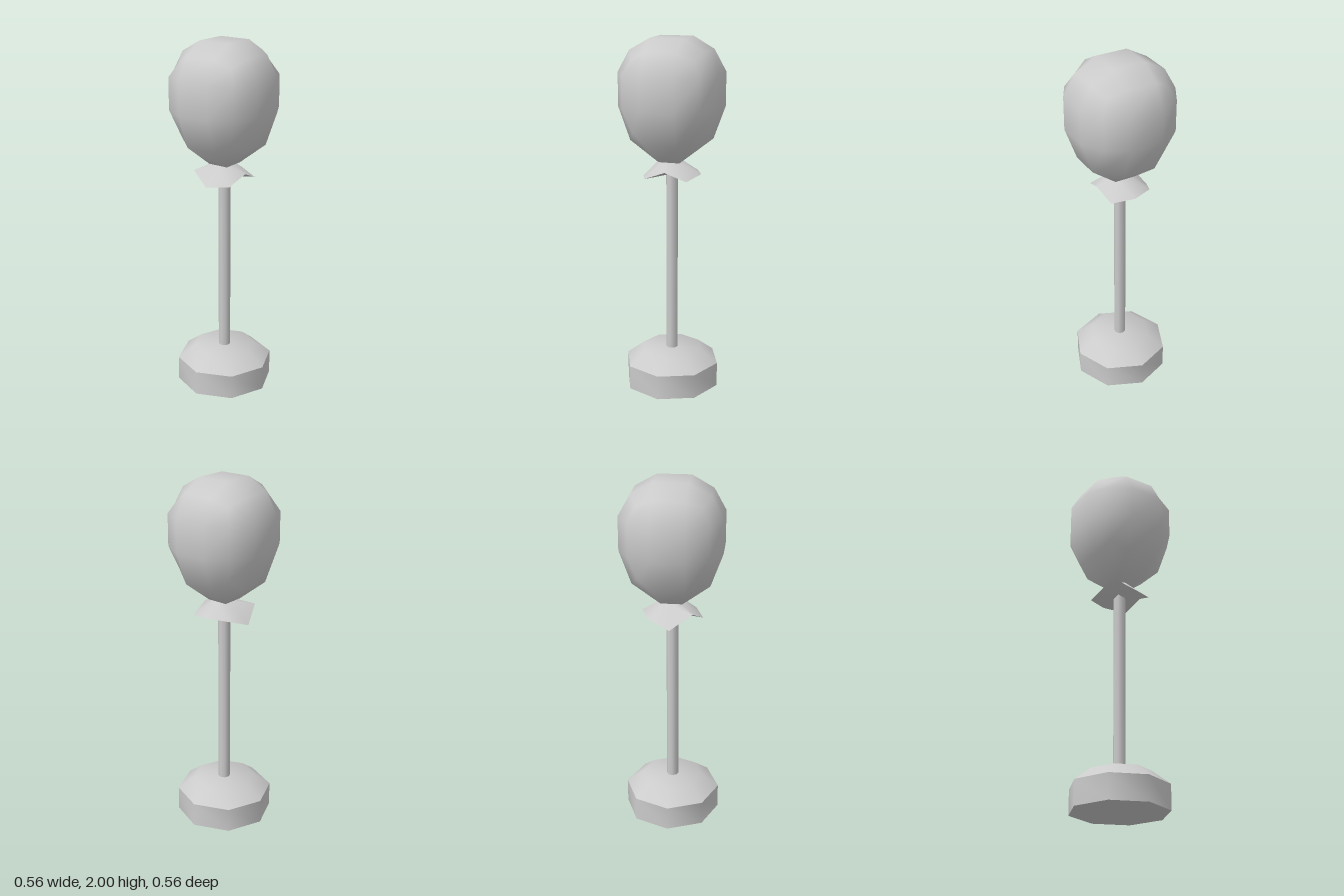
import * as THREE from 'three';
import { mergeVertices, toCreasedNormals } from 'three/addons/utils/BufferGeometryUtils.js';

const CREASE = THREE.MathUtils.degToRad(50);
const grey = new THREE.MeshStandardMaterial({ color: 0xcccccc });

function part(name, geometry, material = grey) {
  const mesh = new THREE.Mesh(geometry, material);
  mesh.name = name;
  return mesh;
}

// Eight-sided turned shape from a radius/height profile
function turned(profile) {
  const points = profile.map(([r, y]) => new THREE.Vector2(r, y));
  return toCreasedNormals(new THREE.LatheGeometry(points, 8), CREASE);
}

// Balloon: a 3x3x3 box rounded off, its lower half drawn down to a narrow neck
function balloonGeometry() {
  let geo = new THREE.BoxGeometry(2, 2, 2, 3, 3, 3);
  geo.deleteAttribute('normal');
  geo.deleteAttribute('uv');
  geo = mergeVertices(geo);
  const pos = geo.attributes.position;
  const outer = [0, 0.278, 0.212, 0.17]; // face, edge and corner points
  const inner = [0, 0.093, 0.088, 0];
  const lower = [0, 1.325, 1.445, 1.5];
  for (let i = 0; i < pos.count; i++) {
    const p = [pos.getX(i), pos.getY(i), pos.getZ(i)];
    const isOuter = p.map((c) => Math.abs(c) > 0.9);
    const n = isOuter.filter(Boolean).length;
    let [x, y, z] = p.map((c, k) => Math.sign(c) * (isOuter[k] ? outer : inner)[n]);
    y += 1.722;
    if (isOuter[1] && p[1] < 0) {
      y = lower[n];
      if (n === 1) {
        x = Math.sign(x) * 0.06;
        z = Math.sign(z) * 0.06;
      }
    }
    pos.setXYZ(i, x, y, z);
  }
  geo.computeVertexNormals();
  return geo;
}

// Knot: a flared collar with an uneven rim, closed underneath around the pole
function knotGeometry() {
  const rim = [
    [0, 1.286, 0.14], [0.118, 1.238, 0.12], [0.169, 1.26, 0], [0.116, 1.253, -0.12],
    [0, 1.212, -0.17], [-0.12, 1.292, -0.12], [-0.169, 1.228, 0], [-0.12, 1.239, 0.12],
  ];
  const n = rim.length;
  const verts = [];
  for (let i = 0; i < n; i++) {
    const a = (i / n) * Math.PI * 2;
    verts.push(Math.sin(a) * 0.06, 1.325, Math.cos(a) * 0.06);
  }
  verts.push(...rim.flat(), 0, 1.25, 0, 0, 1.325, 0);
  const index = [];
  for (let i = 0; i < n; i++) {
    const j = (i + 1) % n;
    index.push(i, n + i, n + j, i, n + j, j); // flared top
    index.push(2 * n, n + j, n + i); // underside
    index.push(2 * n + 1, i, j); // cap under the balloon
  }
  const geo = new THREE.BufferGeometry();
  geo.setAttribute('position', new THREE.Float32BufferAttribute(verts, 3));
  geo.setIndex(index);
  return toCreasedNormals(geo, CREASE);
}

export function createModel() {
  const model = new THREE.Group();
  model.name = 'balloonOnStand';

  // Weighted base with a bevelled top
  model.add(part('base', turned([[0, 0], [0.273, 0], [0.273, 0.14], [0.175, 0.215], [0, 0.215]])));

  // Slim pole
  const pole = part('pole', new THREE.CylinderGeometry(0.034, 0.034, 1.1, 8));
  pole.position.y = 0.75;
  model.add(pole);

  const collarMaterial = grey.clone();
  collarMaterial.side = THREE.DoubleSide;
  model.add(part('knot', knotGeometry(), collarMaterial));
  model.add(part('balloon', balloonGeometry()));
  return model;
}
